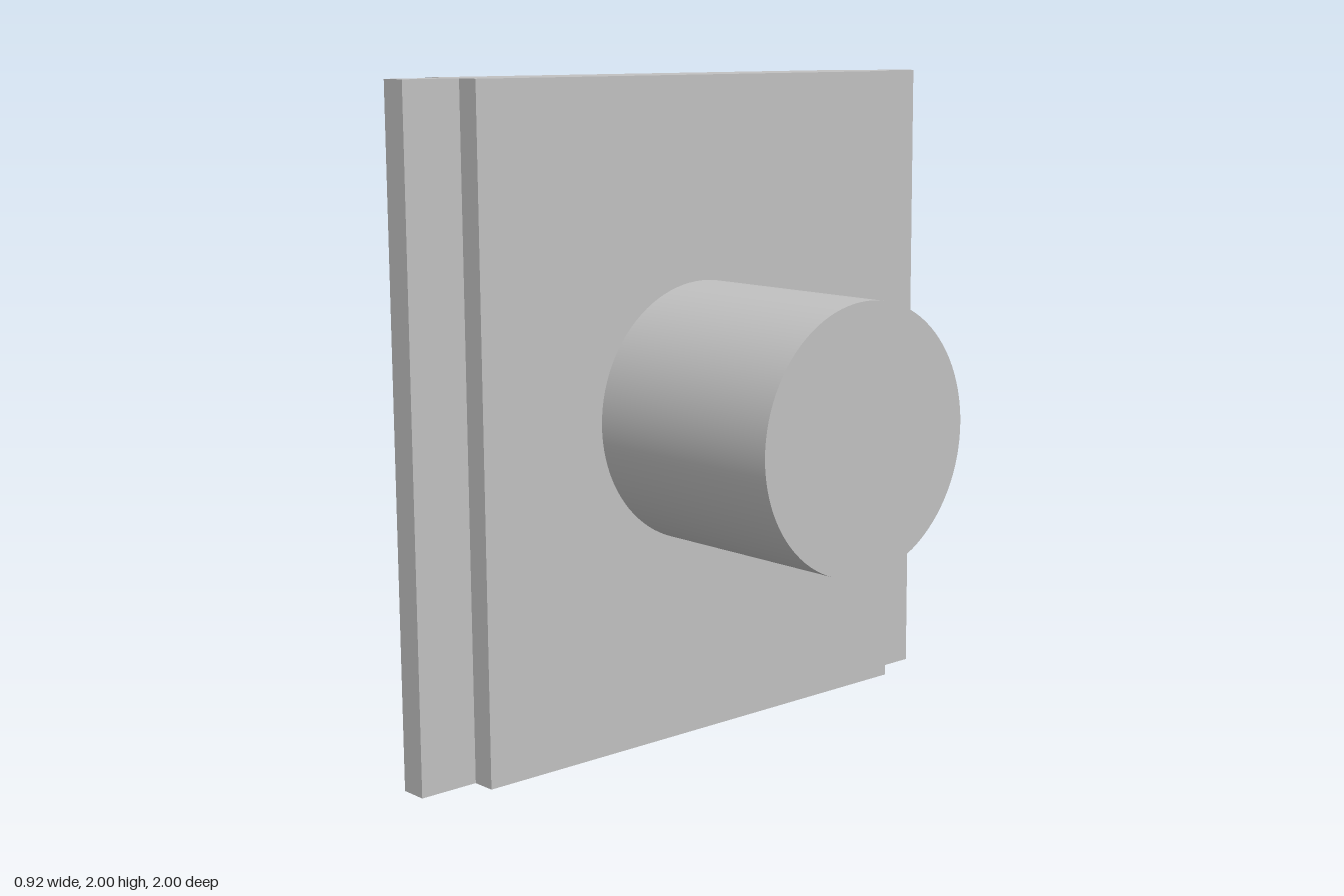
import * as THREE from 'three';

export function createModel() {
  const model = new THREE.Group();
  const grey = new THREE.MeshStandardMaterial({ color: 0xc0c0c0 });
  grey.name = 'light grey';

  // Square panel with a tongue along each upright edge: half outline, mirrored
  const half = [
    [-0.46, 0.815], [-0.385, 0.815], [-0.385, 1],
    [-0.3, 1], [-0.3, 0.815], [-0.225, 0.815],
  ];
  const outline = [...half, ...half.map(([x, z]) => [x, -z]).reverse()];
  const section = new THREE.Shape(outline.map(([x, z]) => new THREE.Vector2(x, z)));
  const panelGeometry = new THREE.ExtrudeGeometry(section, { depth: 2, bevelEnabled: false });
  panelGeometry.rotateX(-Math.PI / 2);
  const panel = new THREE.Mesh(panelGeometry, grey);
  panel.name = 'tonguedPanel';
  model.add(panel);

  // Round boss standing out from the middle of the panel
  const start = -0.225, end = 0.46;
  const bossGeometry = new THREE.CylinderGeometry(0.393, 0.393, end - start, 96);
  bossGeometry.rotateZ(-Math.PI / 2);
  const boss = new THREE.Mesh(bossGeometry, grey);
  boss.name = 'roundBoss';
  boss.position.set((start + end) / 2, 1, 0);
  model.add(boss);

  return model;
}
